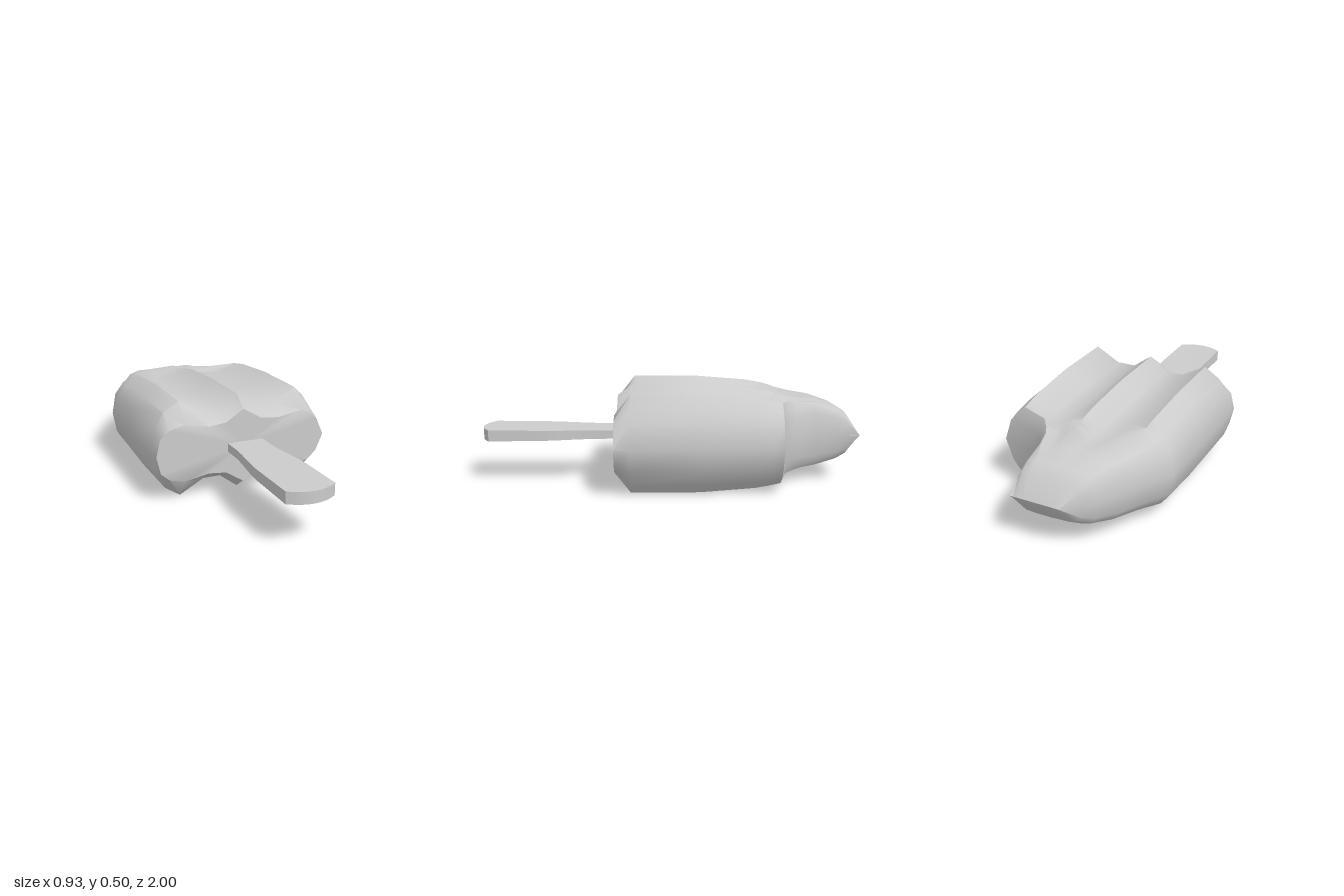
import * as THREE from 'three';
import { toCreasedNormals } from 'three/addons/utils/BufferGeometryUtils.js';

const MID = 0.25; // height of the centre plane

// Upper half of the cross-section: x and half thickness, with three ridges
const PROFILE = [
  [-0.468, 0], [-0.447, 0.125], [-0.4, 0.2], [-0.32, 0.252], [-0.19, 0.18], [-0.095, 0.18],
  [0, 0.252], [0.1, 0.18], [0.2, 0.18], [0.33, 0.252], [0.38, 0.2], [0.425, 0.125], [0.465, 0],
];
// Front rim where the lobes round into the flat end
const FRONT = [0, 0.09, 0.13, 0.15, 0.125, 0.135, 0.195, 0.135, 0.125, 0.15, 0.13, 0.09, 0];
// Smooth dome that the ridges fade into at the tip
const DOME = [0, 0.6, 0.84, 0.95, 0.98, 1, 1, 1, 0.99, 0.97, 0.88, 0.66, 0];

// Sections: z, left extent, right extent, ridge half thickness, fade to dome
const SECTIONS = [
  [0.2, 0.468, 0.465, 0.252, 0],
  [-0.15, 0.468, 0.465, 0.25, 0],
  [-0.43, 0.465, 0.457, 0.23, 0.1],
  [-0.51, 0.462, 0.453, 0.217, 0.2],
  [-0.56, 0.435, 0.45, 0.207, 0.3],
  [-0.6, 0.413, 0.26, 0.195, 0.45],
  [-0.65, 0.386, 0.2, 0.186, 0.6],
  [-0.7, 0.358, 0.16, 0.18, 0.75],
  [-0.77, 0.32, 0.132, 0.173, 0.9],
  [-0.88, 0.26, 0.13, 0.138, 1],
  [-0.93, 0.205, 0.13, 0.108, 1],
  [-1, 0.13, 0.13, 0, 1],
];

// Mirror an upper half section into a closed ring
function ring(upper, z) {
  const lower = upper.slice(1, -1).reverse().map(([x, h]) => [x, -h]);
  return [...upper, ...lower].map(([x, h]) => [x, MID + h, z]);
}

function bodyGeometry() {
  const rings = [ring(PROFILE.map(([x], j) => [x, FRONT[j]]), 0.28)];
  for (const [z, left, right, height, fade] of SECTIONS) {
    const upper = PROFILE.map(([x, h], j) => [
      x * (x < 0 ? left / 0.468 : right / 0.465),
      height * THREE.MathUtils.lerp(h / 0.252, DOME[j], fade),
    ]);
    rings.push(ring(upper, z));
  }
  const n = rings[0].length;
  const index = [];
  for (let i = 0; i < rings.length - 1; i++) {
    for (let j = 0; j < n; j++) {
      const k = (j + 1) % n;
      const a = i * n + j, b = i * n + k, c = a + n, d = b + n;
      index.push(a, b, c, b, d, c);
    }
  }
  // Flat front end
  const centre = rings.length * n;
  for (let j = 0; j < n; j++) index.push(centre, (j + 1) % n, j);

  const geometry = new THREE.BufferGeometry();
  const points = [...rings.flat(2), 0, MID, 0.28];
  geometry.setAttribute('position', new THREE.Float32BufferAttribute(points, 3));
  geometry.setIndex(index);
  return toCreasedNormals(geometry, 0.85);
}

function stickGeometry() {
  // Plan outline, drawn with y as -z
  const shape = new THREE.Shape();
  shape.moveTo(-0.085, -0.15);
  shape.lineTo(-0.085, -0.38);
  shape.bezierCurveTo(-0.09, -0.5, -0.112, -0.58, -0.112, -0.68);
  shape.lineTo(-0.112, -0.955);
  shape.quadraticCurveTo(0.012, -1.045, 0.136, -0.955);
  shape.lineTo(0.136, -0.68);
  shape.bezierCurveTo(0.136, -0.58, 0.11, -0.5, 0.108, -0.38);
  shape.lineTo(0.108, -0.15);
  shape.closePath();
  const geometry = new THREE.ExtrudeGeometry(shape, {
    depth: 0.06, bevelEnabled: false, curveSegments: 8,
  });
  geometry.rotateX(-Math.PI / 2);
  // Thin the stick slightly toward the body
  const p = geometry.attributes.position;
  for (let i = 0; i < p.count; i++) {
    const t = THREE.MathUtils.clamp((p.getZ(i) - 0.28) / 0.6, 0, 1);
    p.setY(i, MID + (p.getY(i) - 0.03) * (0.7 + 0.3 * t));
  }
  return toCreasedNormals(geometry, 0.6);
}

export function createModel() {
  const group = new THREE.Group();
  group.name = 'bittenIcePop';
  const material = new THREE.MeshStandardMaterial({ color: 0xcccccc });

  // Ridged ice body with a bite out of one back corner
  const body = new THREE.Mesh(bodyGeometry(), material);
  body.name = 'iceBody';

  // Wooden stick
  const stick = new THREE.Mesh(stickGeometry(), material);
  stick.name = 'stick';

  group.add(body, stick);
  return group;
}
